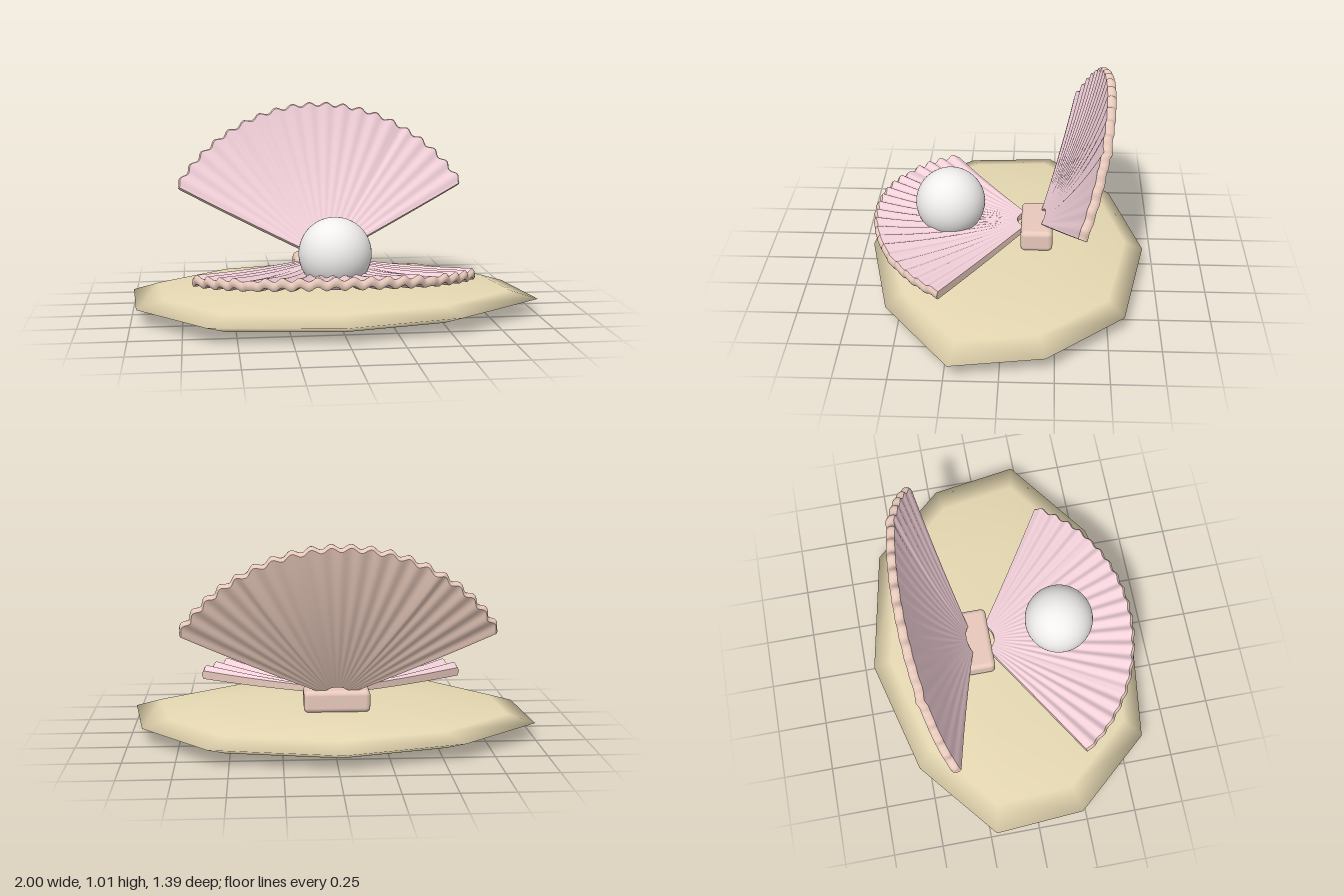
import * as THREE from 'three';
import { mergeVertices } from 'three/addons/utils/BufferGeometryUtils.js';
import { RoundedBoxGeometry } from 'three/addons/geometries/RoundedBoxGeometry.js';
import { ParametricGeometry } from 'three/addons/geometries/ParametricGeometry.js';

const CX = -0.02; // shell, hinge and pearl share this centre line

const paint = (color) => new THREE.MeshStandardMaterial({ color });
const sand = paint(0xe6d8b2);
const pink = paint(0xf2d0d9);
const peach = paint(0xe8c9bb);
const white = paint(0xf0eeec);

function addMesh(parent, name, geometry, material, x = 0, y = 0, z = 0) {
  const mesh = new THREE.Mesh(geometry, material);
  mesh.name = name;
  mesh.position.set(x, y, z);
  parent.add(mesh);
  return mesh;
}

// Flattened ten-sided mound with an uneven outline
function sandGeometry() {
  const outline = [
    [-0.02, 0.69], [0.55, 0.56], [1.0, 0.23], [0.93, -0.21], [0.6, -0.58],
    [-0.02, -0.7], [-0.6, -0.55], [-1.0, -0.22], [-0.97, 0.23], [-0.64, 0.61],
  ];
  const profile = [];
  for (let i = 0; i <= 6; i++) {
    const a = (i / 6) * Math.PI;
    profile.push(new THREE.Vector2(Math.sin(a), 0.081 - 0.08 * Math.cos(a)));
  }
  const geo = new THREE.LatheGeometry(profile, 10);
  const pos = geo.attributes.position;
  for (let i = 0; i < pos.count; i++) {
    const ring = i % profile.length;
    const corner = outline[Math.floor(i / profile.length) % 10];
    const s = profile[ring].x;
    pos.setXYZ(i, corner[0] * s, profile[ring].y, corner[1] * s);
  }
  geo.deleteAttribute('uv');
  geo.deleteAttribute('normal');
  const merged = mergeVertices(geo);
  merged.computeVertexNormals();
  return merged;
}

// Ribbed fan bent along a curve. path: [y, z] start, control and end;
// facing: which side of the curve is the inside
function shellHalf(name, { path, radius, halfAngle, facing, rib, scallop, crease }) {
  const group = new THREE.Group();
  group.name = name;
  const curve = new THREE.QuadraticBezierCurve(...path.map((p) => new THREE.Vector2(p[0], p[1])));
  const inner = 0.08;
  const ribs = 20;
  const creaseAngle = THREE.MathUtils.degToRad(32);

  // s: hinge to rim, a: across the fan, k: outside to inside, all 0..1
  const point = (s, a, k, target) => {
    const angle = (a * 2 - 1) * halfAngle;
    const side = k * 2 - 1;
    const wave = -Math.cos((angle / halfAngle) * ribs * Math.PI);
    const rim = radius * (1 + scallop * wave) + 0.01 * (1 - side * side);
    const r = inner + (rim - inner) * s;
    const t = (r * Math.cos(angle)) / radius;
    const p = curve.getPoint(t);
    const d = curve.getTangent(Math.min(Math.max(t, 0), 1));
    const dip = Math.exp(-(((Math.abs(angle) - creaseAngle) / 0.025) ** 2));
    const offset = side * (0.015 + 0.007 * s) + (rib * wave - crease * dip) * s;
    target.set(
      CX + facing * r * Math.sin(angle),
      p.x + facing * d.y * offset,
      p.y - facing * d.x * offset,
    );
  };
  const sheet = (part, material, fn, nu, nv) =>
    addMesh(group, part, new ParametricGeometry(fn, nu, nv), material);

  const across = 200;
  sheet('shellInside', pink, (u, v, o) => point(u, v, 1, o), 20, across);
  sheet('shellOutside', peach, (u, v, o) => point(v, u, 0, o), across, 20);
  sheet('shellRim', peach, (u, v, o) => point(1, u, v, o), across, 4);
  sheet('shellRoot', peach, (u, v, o) => point(0, v, u, o), 2, across);
  sheet('leftEdge', peach, (u, v, o) => point(v, 1, u, o), 2, 20);
  sheet('rightEdge', peach, (u, v, o) => point(u, 0, v, o), 20, 2);
  return group;
}

export function createModel() {
  const model = new THREE.Group();
  model.name = 'openShellWithPearl';

  addMesh(model, 'sandBase', sandGeometry(), sand);
  addMesh(model, 'hinge', new RoundedBoxGeometry(0.325, 0.11, 0.16, 4, 0.025), peach, CX, 0.205, -0.155);
  addMesh(model, 'pearl', new THREE.SphereGeometry(0.175, 48, 32), white, CX, 0.345, 0.285);

  // Lower half lies open, upper half stands and leans back
  model.add(shellHalf('lowerShell', {
    path: [[0.236, -0.14], [0.205, 0.285], [0.28, 0.66]],
    radius: 0.8, halfAngle: THREE.MathUtils.degToRad(58), facing: 1,
    rib: 0.009, scallop: 0.006, crease: 0.012,
  }));
  model.add(shellHalf('upperShell', {
    path: [[0.22, -0.17], [0.57, -0.392], [0.995, -0.505]],
    radius: 0.86, halfAngle: THREE.MathUtils.degToRad(60.5), facing: -1,
    rib: 0.004, scallop: 0.011, crease: 0.01,
  }));
  return model;
}
